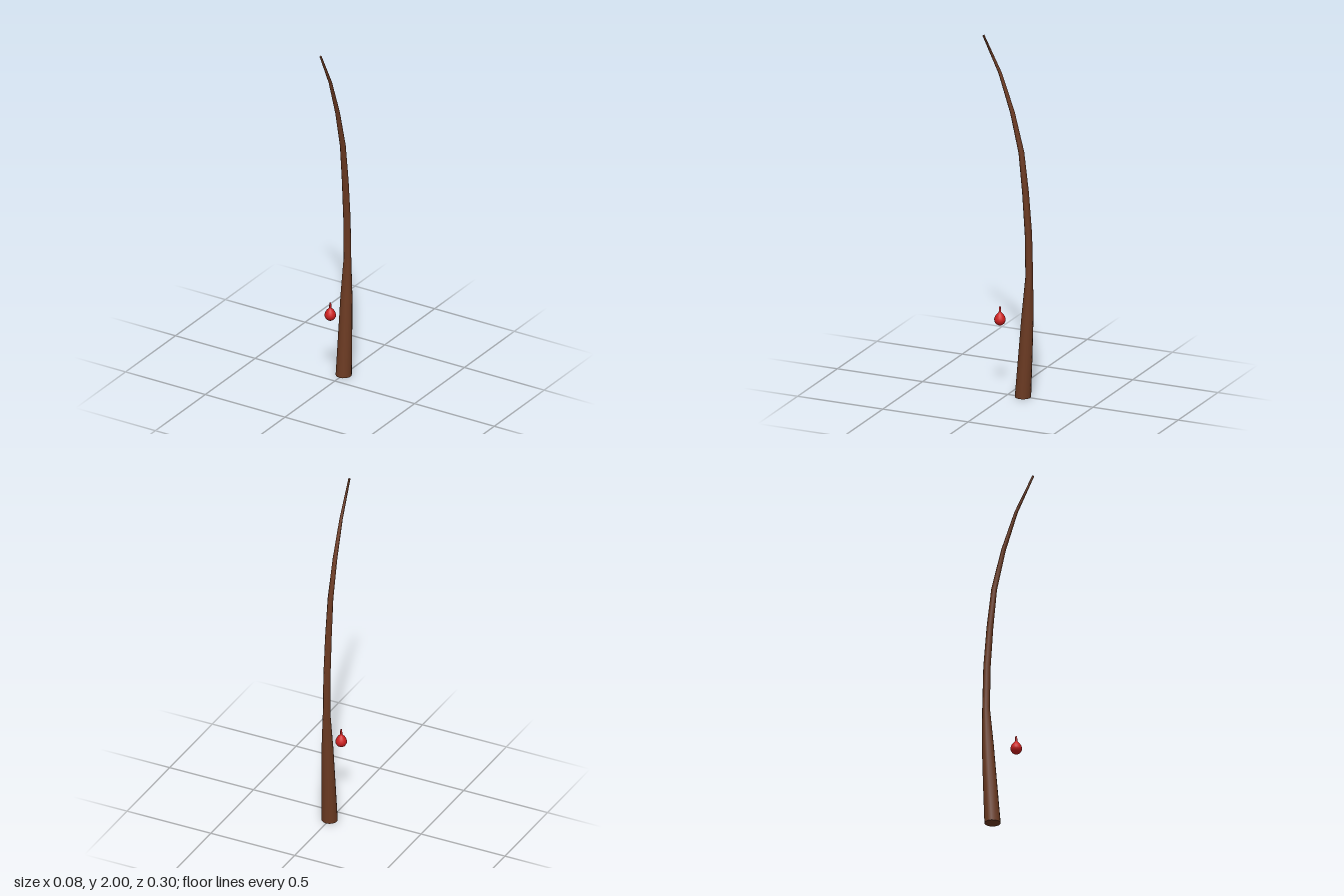
import * as THREE from 'three';
import { toCreasedNormals } from 'three/addons/utils/BufferGeometryUtils.js';

// Rod cross-sections from base to tip: [height, depth, radius]
const RINGS = [
  [0, -0.089, 0.0435], [0.23, -0.103, 0.038], [0.46, -0.116, 0.032],
  [0.68, -0.126, 0.0205], [0.92, -0.121, 0.0195], [1.15, -0.104, 0.018],
  [1.37, -0.08, 0.0155], [1.59, -0.027, 0.0125], [1.8, 0.045, 0.009],
  [1.998, 0.143, 0.0055],
];

// Bends a unit cylinder through the rings, each tilted square to the path
function bentRod(rings, sides) {
  const last = rings.length - 1;
  const geo = new THREE.CylinderGeometry(1, 1, 1, sides, last);
  const pos = geo.attributes.position;
  for (let i = 0; i < pos.count; i++) {
    const k = Math.round((pos.getY(i) + 0.5) * last);
    const [y, z, r] = rings[k];
    const a = rings[Math.max(k - 1, 0)], b = rings[Math.min(k + 1, last)];
    const tilt = k === 0 ? 0 : Math.atan2(b[1] - a[1], b[0] - a[0]);
    const px = pos.getX(i) * r, pz = pos.getZ(i) * r;
    pos.setXYZ(i, px, y - pz * Math.sin(tilt), z + pz * Math.cos(tilt));
  }
  return toCreasedNormals(geo, 0.9);
}

export function createModel() {
  const group = new THREE.Group();

  // Curved tapering pole
  const rod = new THREE.Mesh(bentRod(RINGS, 14),
    new THREE.MeshStandardMaterial({ color: 0x6b3a22 }));
  rod.name = 'rod';
  group.add(rod);

  // Teardrop float with a thin stem, hanging free in front of the pole
  const profile = [
    [0, 0.382], [0.012, 0.385], [0.023, 0.393], [0.03, 0.406], [0.031, 0.416],
    [0.028, 0.428], [0.021, 0.441], [0.012, 0.451], [0.006, 0.458],
    [0.005, 0.487], [0, 0.488],
  ].map(([r, y]) => new THREE.Vector2(r, y));
  const bobber = new THREE.Mesh(new THREE.LatheGeometry(profile, 20),
    new THREE.MeshStandardMaterial({ color: 0xcc1f1f }));
  bobber.name = 'bobber';
  bobber.position.z = 0.046;
  group.add(bobber);

  return group;
}
